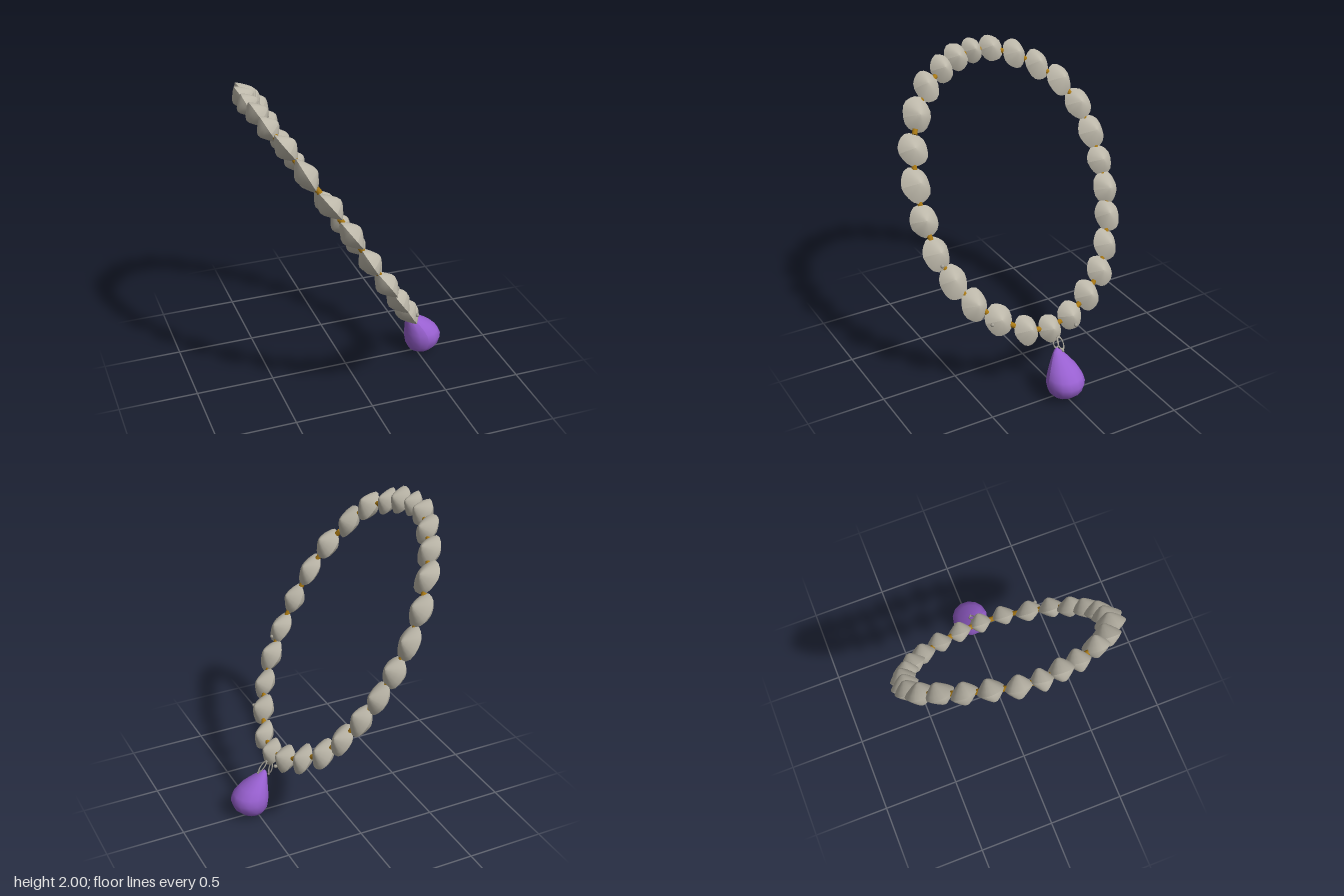
import * as THREE from 'three';
import { mergeGeometries } from 'three/addons/utils/BufferGeometryUtils.js';

const stone = new THREE.MeshStandardMaterial({ color: 0xbcb7a9 });
stone.name = 'paleStone';
const gold = new THREE.MeshStandardMaterial({ color: 0xa87814 });
gold.name = 'gold';
const purple = new THREE.MeshStandardMaterial({ color: 0x9860d0 });
purple.name = 'purpleGem';
const metal = new THREE.MeshStandardMaterial({ color: 0xa5a196 });
metal.name = 'greyMetal';

// The loop lies in a plane leaning back by this angle.
const LEAN = -1.01;

// Bead centres (x, y, z) and radius, once around the loop.
const beads = [
  [0.37, 0.42, 0.02, 0.077], [0.355, 0.45, 0.18, 0.081], [0.29, 0.54, 0.335, 0.089],
  [0.22, 0.65, 0.465, 0.087], [0.13, 0.79, 0.555, 0.092], [0.03, 0.95, 0.615, 0.09],
  [-0.08, 1.13, 0.635, 0.088], [-0.19, 1.32, 0.628, 0.094], [-0.30, 1.50, 0.585, 0.092],
  [-0.41, 1.67, 0.50, 0.092], [-0.49, 1.80, 0.39, 0.083], [-0.55, 1.87, 0.255, 0.075],
  [-0.58, 1.915, 0.14, 0.077], [-0.60, 1.93, 0.02, 0.068], [-0.59, 1.925, -0.11, 0.076],
  [-0.54, 1.88, -0.25, 0.08], [-0.48, 1.80, -0.383, 0.084], [-0.40, 1.70, -0.50, 0.088],
  [-0.315, 1.55, -0.592, 0.09], [-0.22, 1.38, -0.635, 0.093], [-0.124, 1.215, -0.643, 0.087],
  [-0.03, 1.06, -0.63, 0.088], [0.06, 0.91, -0.592, 0.087], [0.15, 0.76, -0.522, 0.086],
  [0.23, 0.63, -0.432, 0.086], [0.30, 0.53, -0.292, 0.084], [0.348, 0.455, -0.138, 0.081],
];

// Seeded random numbers between -1 and 1.
function makeRandom(seed) {
  return () => {
    seed = (seed * 16807) % 2147483647;
    return (seed / 2147483647) * 2 - 1;
  };
}

// Unit lens: two shallow domes meeting at a sharp, slightly uneven rim.
function beadGeometry(rand) {
  const profile = [[1, 0], [0.8, 0.3], [0.5, 0.64], [0.22, 0.91], [0, 1]]
    .map(([r, y]) => new THREE.Vector2(r, y));
  const upper = new THREE.LatheGeometry(profile, 18);
  const lower = upper.clone().rotateX(Math.PI);
  const geo = mergeGeometries([upper, lower]);
  const a = rand() * 3, b = rand() * 3, tipX = rand() * 0.12, tipZ = rand() * 0.12;
  const p = geo.attributes.position;
  for (let i = 0; i < p.count; i++) {
    const x = p.getX(i), y = p.getY(i), z = p.getZ(i);
    const angle = Math.atan2(z, x);
    const k = 1 + 0.035 * Math.sin(2 * angle + a) + 0.025 * Math.sin(5 * angle + b);
    p.setXYZ(i, x * k + tipX * y, y, z * k + tipZ * y);
  }
  // Lathe profiles run bottom to top for outward faces, so flip this one.
  const index = geo.index.array;
  for (let i = 0; i < index.length; i += 3) {
    const swap = index[i];
    index[i] = index[i + 2];
    index[i + 2] = swap;
  }
  orientOutward(geo);
  geo.computeVertexNormals();
  return geo;
}

// Turns every triangle of a shape that surrounds the origin to face outward.
function orientOutward(geo) {
  const p = geo.attributes.position, index = geo.index.array;
  const v = [0, 1, 2].map(() => new THREE.Vector3());
  for (let i = 0; i < index.length; i += 3) {
    v.forEach((q, j) => q.fromBufferAttribute(p, index[i + j]));
    const volume = v[0].dot(new THREE.Vector3().crossVectors(v[1], v[2]));
    if (volume < 0) [index[i], index[i + 2]] = [index[i + 2], index[i]];
  }
}

// Teardrop: a lathe whose rings shift sideways so the tip leans to one side.
function dropGeometry() {
  const rings = [ // y, radius, centre x
    [0.005, 0, 0.515], [0.01, 0.04, 0.518], [0.032, 0.08, 0.528], [0.07, 0.109, 0.538],
    [0.125, 0.122, 0.542], [0.17, 0.112, 0.532], [0.215, 0.089, 0.51],
    [0.26, 0.054, 0.474], [0.293, 0.023, 0.444], [0.31, 0, 0.432],
  ];
  const geo = new THREE.LatheGeometry(rings.map(([y, r]) => new THREE.Vector2(r, y)), 14);
  const p = geo.attributes.position;
  for (let i = 0; i < p.count; i++) {
    p.setX(i, p.getX(i) + rings[i % rings.length][2]);
  }
  geo.computeVertexNormals();
  return geo;
}

function add(parent, name, geometry, material, position = [0, 0, 0]) {
  const mesh = new THREE.Mesh(geometry, material);
  mesh.name = name;
  mesh.position.set(...position);
  parent.add(mesh);
  return mesh;
}

export function createModel() {
  const model = new THREE.Group();
  model.name = 'necklace';
  const rand = makeRandom(4711);
  const variants = Array.from({ length: 6 }, () => beadGeometry(rand));
  const spacerGeo = new THREE.CylinderGeometry(0.017, 0.017, 0.034, 10);
  const up = new THREE.Vector3(0, 1, 0);

  // Stone beads with a gold spacer between each pair
  const string = new THREE.Group();
  string.name = 'beadString';
  model.add(string);
  beads.forEach(([x, y, z, r], i) => {
    const bead = add(string, 'stoneBead', variants[i % variants.length], stone, [x, y, z]);
    bead.rotation.set(rand() * 0.08, rand() * 0.08, LEAN + rand() * 0.08);
    bead.scale.set(r / 0.85, 0.068, r);

    const here = new THREE.Vector3(x, y, z);
    const next = new THREE.Vector3(...beads[(i + 1) % beads.length].slice(0, 3));
    const middle = here.clone().lerp(next, 0.5);
    const spacer = add(string, 'goldSpacer', spacerGeo, gold, middle.toArray());
    spacer.quaternion.setFromUnitVectors(up, next.sub(here).normalize());
  });

  // Tiny studs on a few beads
  const studGeo = new THREE.SphereGeometry(0.012, 10, 8);
  for (const spot of [[0.33, 0.545, 0.4], [0.42, 0.42, -0.14], [0.1, 0.9, 0.61]]) {
    add(model, 'stud', studGeo, metal, spot);
  }

  // Two narrow links holding the pendant
  const linkGeo = new THREE.TorusGeometry(0.018, 0.004, 6, 16).rotateY(Math.PI / 2);
  const links = [[[0.385, 0.36], [0.412, 0.28]], [[0.42, 0.385], [0.485, 0.31]]];
  for (const [[x1, y1], [x2, y2]] of links) {
    const link = add(model, 'pendantLink', linkGeo, metal, [(x1 + x2) / 2, (y1 + y2) / 2, -0.01]);
    link.rotation.z = Math.atan2(x1 - x2, y2 - y1) + Math.PI;
    link.scale.y = Math.hypot(x2 - x1, y2 - y1) / 0.044;
    add(model, 'linkEnd', new THREE.SphereGeometry(0.008, 8, 6), metal, [x2, y2, -0.01]);
  }

  // Teardrop pendant
  add(model, 'teardropPendant', dropGeometry(), purple, [0, 0, 0.005]);
  return model;
}
